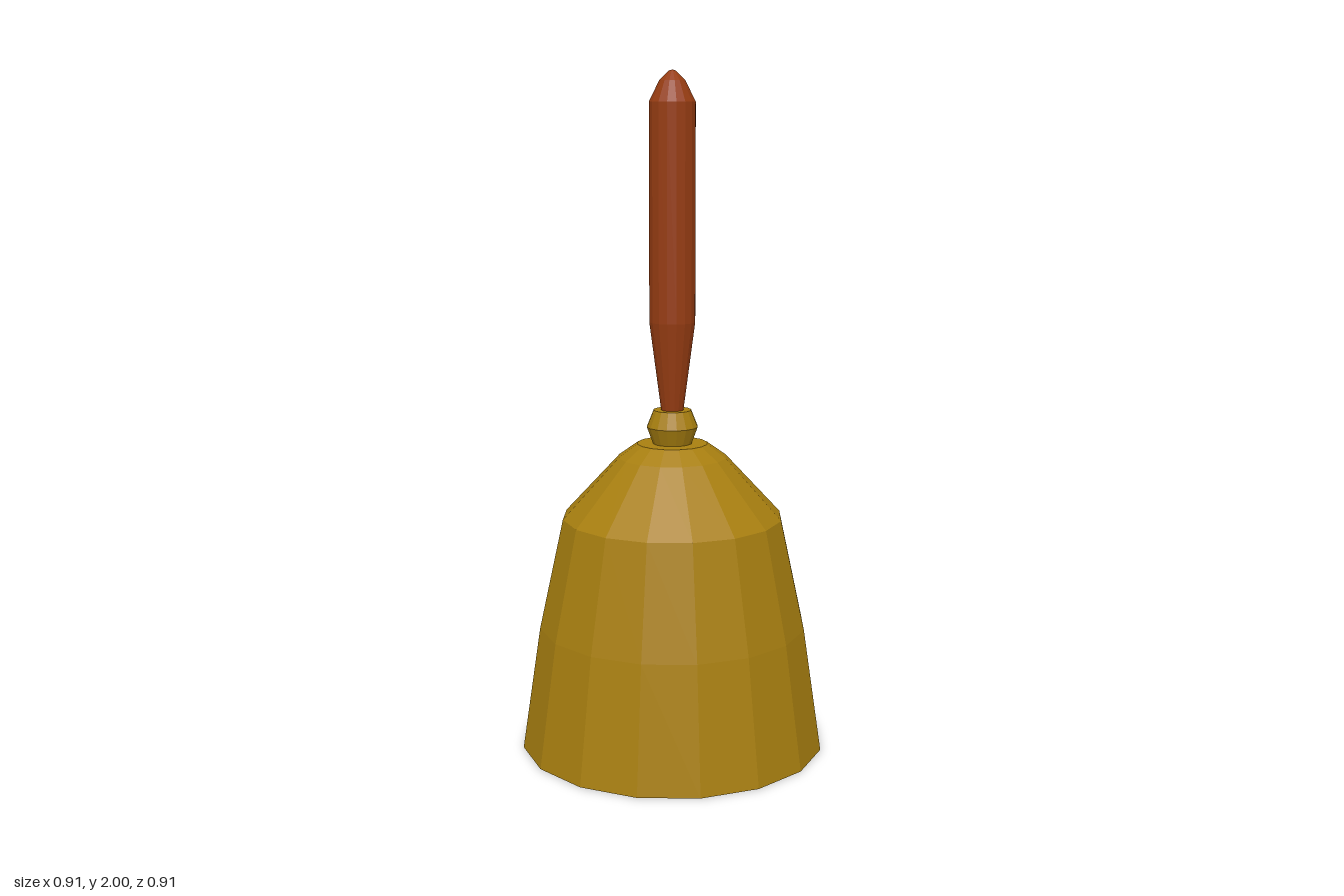
import * as THREE from 'three';

const SIDES = 16;

const brass = new THREE.MeshStandardMaterial({ color: 0xa87f10, flatShading: true });
const wood = new THREE.MeshStandardMaterial({ color: 0x963c12, flatShading: true });

// Faceted solid of revolution from [radius, height] pairs
function turned(name, profile, material, sides = SIDES) {
  const points = profile.map(([r, y]) => new THREE.Vector2(r, y));
  const mesh = new THREE.Mesh(new THREE.LatheGeometry(points, sides), material);
  mesh.name = name;
  return mesh;
}

export function createModel() {
  const group = new THREE.Group();
  group.name = 'handBell';

  // Hollow bell: down the inside, across the rim, up the outside
  group.add(turned('bellBody', [
    [0, 0.85], [0.1, 0.85], [0.14, 0.82], [0.265, 0.67], [0.335, 0.35], [0.385, 0],
    [0.455, 0], [0.4, 0.37], [0.328, 0.7], [0.161, 0.88], [0.105, 0.92], [0, 0.92],
  ], brass));

  // Collar joining bell and handle
  group.add(turned('collar', [
    [0, 0.915], [0.056, 0.915], [0.076, 0.97], [0.056, 1.02], [0, 1.02],
  ], brass));

  // Wooden grip, tapered at the foot and rounded at the tip
  group.add(turned('handle', [
    [0, 1.01], [0.032, 1.01], [0.068, 1.28], [0.068, 1.91],
    [0.038, 1.97], [0.01, 1.997], [0, 2],
  ], wood));

  // Clapper hanging inside: a weighted end on a thin rod
  const clapper = new THREE.Group();
  clapper.name = 'clapper';
  clapper.add(turned('clapperBall', [
    [0, 0.065], [0.022, 0.065], [0.062, 0.13], [0.066, 0.17], [0.045, 0.225], [0, 0.235],
  ], brass, 12));
  clapper.add(turned('clapperRod', [
    [0, 0.22], [0.035, 0.22], [0.022, 0.4], [0.022, 0.86], [0, 0.86],
  ], brass, 12));
  group.add(clapper);

  return group;
}
